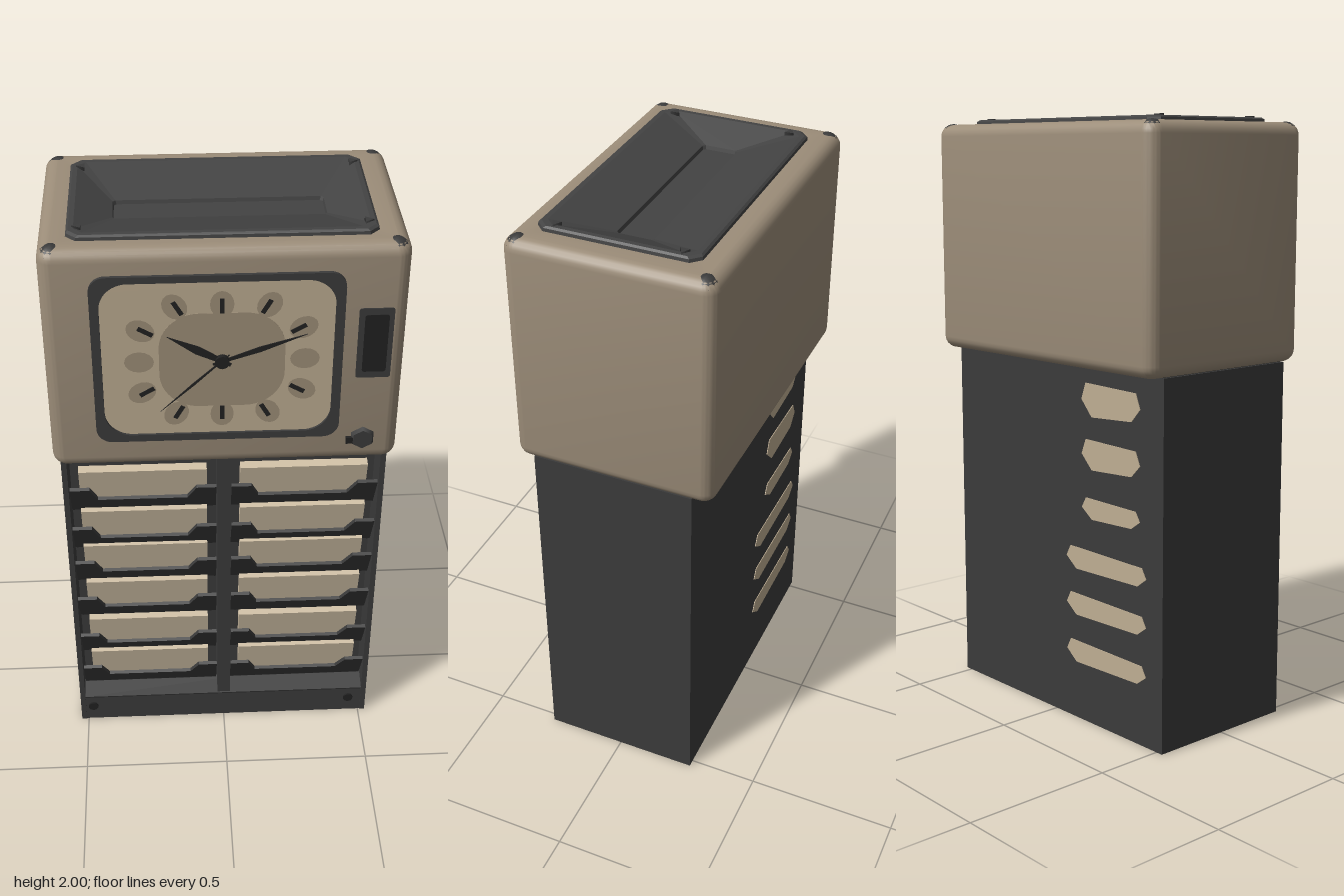
import * as THREE from 'three';
import { toCreasedNormals } from 'three/addons/utils/BufferGeometryUtils.js';

const mat = (name, color) => new THREE.MeshStandardMaterial({ name, color });

// Rounded rectangle outline given by its edges and corner radius
function roundRect(x0, y0, x1, y1, r, Type = THREE.Shape) {
  const s = new Type();
  s.moveTo(x0 + r, y0);
  s.lineTo(x1 - r, y0);
  s.absarc(x1 - r, y0 + r, r, -Math.PI / 2, 0);
  s.lineTo(x1, y1 - r);
  s.absarc(x1 - r, y1 - r, r, 0, Math.PI / 2);
  s.lineTo(x0 + r, y1);
  s.absarc(x0 + r, y1 - r, r, Math.PI / 2, Math.PI);
  s.lineTo(x0, y0 + r);
  s.absarc(x0 + r, y0 + r, r, Math.PI, Math.PI * 1.5);
  return s;
}

const polygon = (pts) => new THREE.Shape(pts.map(([x, y]) => new THREE.Vector2(x, y)));

function plate(shape, depth, z, curveSegments = 6) {
  const g = new THREE.ExtrudeGeometry(shape, { depth, bevelEnabled: false, curveSegments });
  return g.translate(0, 0, z);
}

// Joins chamfered rectangular rings [halfX, halfZ, y, chamfer] and closes the last one
function ringLoft(rings) {
  const loops = rings.map(([a, b, y, c]) => [
    [a, -b + c], [a, b - c], [a - c, b], [-a + c, b],
    [-a, b - c], [-a, -b + c], [-a + c, -b], [a - c, -b],
  ].map(([x, z]) => [x, y, z]));
  const pos = [];
  for (let i = 0; i < loops.length - 1; i++) {
    for (let j = 0; j < 8; j++) {
      const k = (j + 1) % 8, lo = loops[i], hi = loops[i + 1];
      pos.push(...lo[j], ...hi[j], ...hi[k], ...lo[j], ...hi[k], ...lo[k]);
    }
  }
  const end = loops[loops.length - 1];
  for (let j = 1; j < 7; j++) pos.push(...end[0], ...end[j + 1], ...end[j]);
  const g = new THREE.BufferGeometry();
  g.setAttribute('position', new THREE.Float32BufferAttribute(pos, 3));
  g.computeVertexNormals();
  return g;
}

export function createModel() {
  const model = new THREE.Group();
  model.name = 'timeClockWithCardRack';
  const tan = mat('tan casing', 0x9c8d79);
  const dark = mat('charcoal', 0x3b3b3b);
  const cream = mat('cream card', 0xd0c0a6);
  const dialLight = mat('dial cream', 0xbfae93);
  const dialTan = mat('dial tan', 0x9f9079);
  const ink = mat('black ink', 0x222222);
  const lid = mat('lid charcoal', 0x434343);
  lid.side = THREE.DoubleSide;

  const add = (name, geo, material, x = 0, y = 0, z = 0, parent = model) => {
    const m = new THREE.Mesh(geo, material);
    m.name = name;
    m.position.set(x, y, z);
    parent.add(m);
    return m;
  };
  const box = (name, w, h, d, material, x, y, z, parent) =>
    add(name, new THREE.BoxGeometry(w, h, d), material, x, y, z, parent);

  // Clock head: rounded casing, open at the top for the funnel
  const outline = roundRect(-0.545, -0.325, 0.545, 0.345, 0.045);
  outline.holes.push(roundRect(-0.4, -0.195, 0.4, 0.195, 0.02, THREE.Path));
  const headGeo = new THREE.ExtrudeGeometry(outline, {
    depth: 0.69, bevelThickness: 0.04, bevelSize: 0.04, bevelOffset: -0.04, bevelSegments: 5, curveSegments: 6,
  });
  headGeo.rotateX(-Math.PI / 2);
  add('clockHead', toCreasedNormals(headGeo, 0.6), tan, 0, 1.25, 0);
  for (const sx of [-1, 1]) {
    for (const z of [-0.301, 0.281]) {
      add('cornerCap', new THREE.SphereGeometry(0.043, 12, 8), dark, sx * 0.501, 1.94, z);
    }
  }

  // Lid with a sunken funnel leading to the card slot
  add('lidFunnel', ringLoft([
    [0.46, 0.26, 1.97, 0.03], [0.457, 0.257, 1.99, 0.03], [0.45, 0.25, 1.995, 0.03],
    [0.435, 0.235, 1.995, 0.025], [0.325, 0.06, 1.947, 0.008], [0.322, 0.057, 1.935, 0.008],
  ]), lid, -0.003);
  for (const sx of [-1, 1]) {
    for (const sz of [-1, 1]) {
      const screw = add('lidScrew', new THREE.CylinderGeometry(0.018, 0.018, 0.012, 3), dark, sx * 0.425, 1.994, sz * 0.2);
      screw.rotation.y = sx * Math.PI / 2;
    }
  }

  // Clock window bezel and dial
  const bezel = roundRect(-0.4, 1.316, 0.354, 1.9, 0.05);
  bezel.holes.push(roundRect(-0.372, 1.34, 0.326, 1.878, 0.085, THREE.Path));
  add('bezel', plate(bezel, 0.024, 0.312), dark);
  add('dial', plate(roundRect(-0.385, 1.33, 0.34, 1.89, 0.05), 0.008, 0.32), dialLight);

  const cx = -0.01, cy = 1.605;
  add('dialCentre', plate(roundRect(-0.2, 1.44, 0.18, 1.77, 0.12), 0.002, 0.3275), dialTan);
  for (let h = 0; h < 12; h++) {
    const a = (h * Math.PI) / 6, sx = Math.sin(a), sy = Math.cos(a);
    // Hour positions follow the squarish dial
    const k = 1 / Math.pow(Math.abs(sx) ** 4 + Math.abs(sy) ** 4, 0.25);
    const spot = add('hourSpot', new THREE.CircleGeometry(0.036, 16), dialTan, cx + sx * k * 0.25, cy + sy * k * 0.195, 0.3298);
    spot.scale.y = 1.25;
    spot.rotation.z = -a;
    if (h % 3 || h % 6 === 0) {
      const tick = box('hourMark', 0.014, 0.05, 0.003, ink, cx + sx * k * 0.235, cy + sy * k * 0.19, 0.331);
      tick.rotation.z = -a;
    }
  }

  // Hands
  const hand = (name, dx, dy, width, z) => {
    const len = Math.hypot(dx, dy);
    const g = plate(polygon([[-width * 0.4, -0.03], [width * 0.4, -0.03], [width, len * 0.45], [0, len], [-width, len * 0.45]]), 0.003, 0);
    add(name, g, ink, cx, cy, z).rotation.z = Math.atan2(-dx, dy);
  };
  hand('hourHand', -0.165, 0.09, 0.014, 0.333);
  hand('minuteHand', 0.255, 0.09, 0.009, 0.335);
  hand('secondHand', -0.19, -0.18, 0.004, 0.331);
  add('handHub', new THREE.CylinderGeometry(0.022, 0.022, 0.02, 12).rotateX(Math.PI / 2), ink, cx, cy, 0.335);

  // Side window and knob on the head front
  add('sideWindow', plate(roundRect(0.397, 1.528, 0.503, 1.772, 0.008), 0.006, 0.322), dark);
  add('sideWindowPane', plate(roundRect(0.415, 1.55, 0.488, 1.75, 0.008), 0.002, 0.3275), ink);
  add('knob', new THREE.CylinderGeometry(0.034, 0.045, 0.02, 6).rotateX(Math.PI / 2), dark, 0.432, 1.3, 0.328);
  box('knobLever', 0.05, 0.022, 0.012, ink, 0.405, 1.295, 0.33);

  // Card rack housing
  const rack = new THREE.Group();
  rack.name = 'cardRack';
  model.add(rack);
  box('rackBody', 1.03, 1.22, 0.43, dark, 0, 0.61, -0.055, rack);
  box('rackTop', 1.03, 0.02, 0.53, dark, 0, 1.205, 0, rack);
  box('divider', 0.045, 1.1, 0.12, dark, 0, 0.65, 0.205, rack);
  box('rackBase', 1.045, 0.11, 0.53, dark, 0, 0.055, 0.002, rack);
  for (const s of [-1, 1]) {
    box('sideWall', 0.018, 1.21, 0.54, dark, s * 0.516, 0.605, 0, rack);
    add('baseBolt', new THREE.CylinderGeometry(0.018, 0.018, 0.012, 10).rotateX(Math.PI / 2), ink, s * 0.47 - 0.01, 0.065, 0.267, rack);
  }

  // Sloping panel under the lowest pockets
  const skirt = box('rackSkirt', 1.02, 0.012, 0.12, dark, 0, 0.125, 0.21, rack);
  skirt.rotation.x = 0.3;

  // Two columns of tilted pockets holding cards
  const pocketShape = polygon([
    [-0.24, 0], [0.24, 0], [0.24, 0.14], [0.175, 0.14], [0.145, 0.07],
    [-0.15, 0.07], [-0.175, 0.14], [-0.24, 0.14],
  ]);
  const rows = [1.01, 0.845, 0.695, 0.53, 0.355, 0.197];
  rows.forEach((y) => {
    for (const s of [-1, 1]) {
      const x = s * 0.265;
      add('pocketFront', plate(pocketShape, 0.012, 0), dark, x, y - 0.06, 0.195, rack).rotation.x = 0.45;
      box('pocketShelf', 0.48, 0.012, 0.07, dark, x, y - 0.058, 0.172, rack);
      const card = box('timeCards', 0.42, 0.155, 0.03, cream, x, y + 0.035, 0.2, rack);
      card.rotation.x = 0.2;
    }
  });

  // Card openings showing on the rear panel
  [[1.1, 0.11], [0.92, 0.1], [0.74, 0.07], [0.56, 0.075], [0.4, 0.075], [0.235, 0.075]].forEach(([y, h], i) => {
    const x1 = i < 3 ? -0.14 : -0.06, x0 = i < 3 ? -0.42 : -0.45;
    const g = plate(polygon([
      [x0, y], [x0 + 0.04, y - h * 0.4], [x1 - 0.05, y - h / 2], [x1, y], [x1 - 0.02, y + h / 2], [x0 + 0.02, y + h * 0.45],
    ]), 0.004, -0.2725);
    add('rearCardOpening', g, dialLight, 0, 0, 0, rack);
  });

  return model;
}
